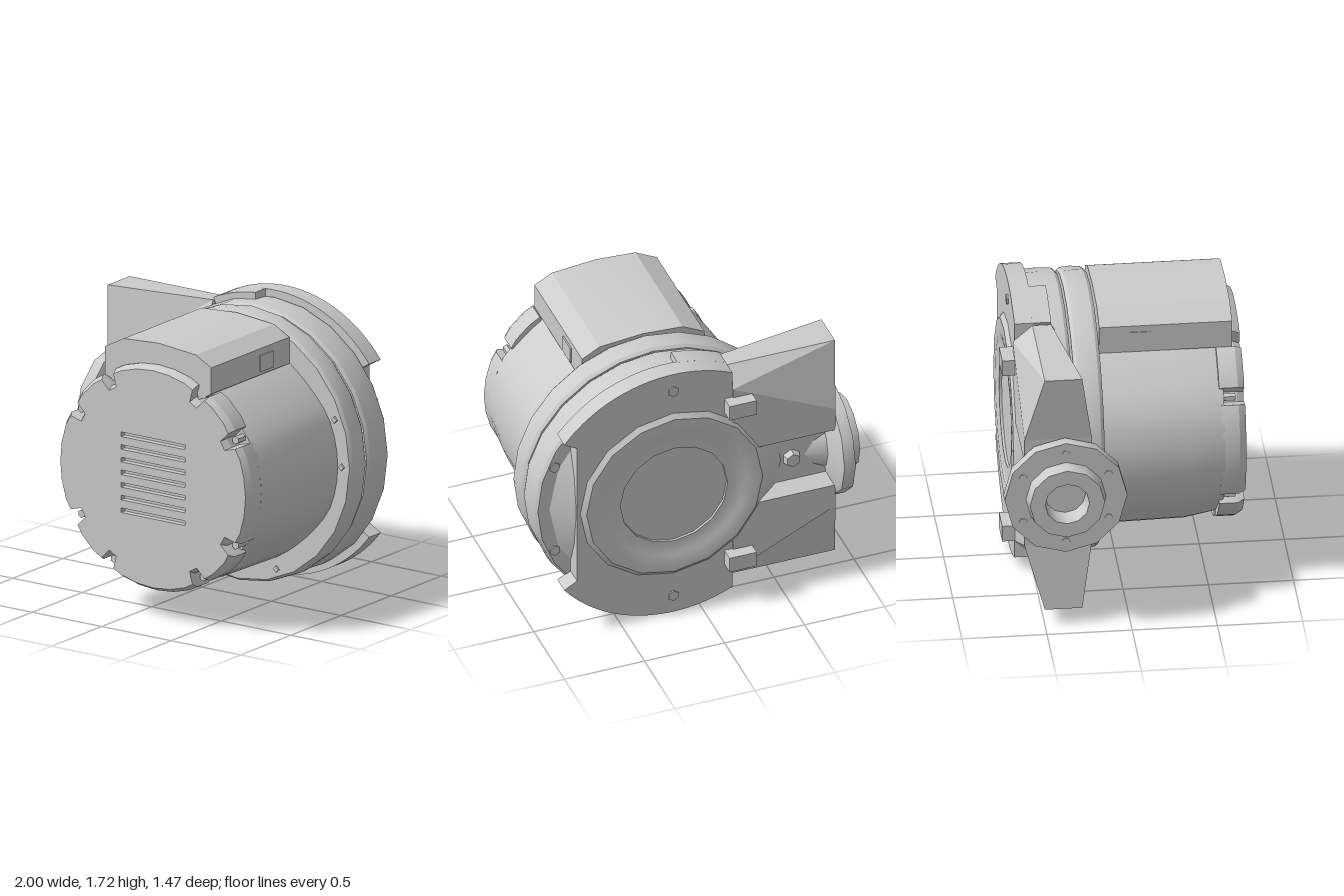
import * as THREE from 'three';
import { toCreasedNormals } from 'three/addons/utils/BufferGeometryUtils.js';

const CX = 0.17, CY = 0.87; // main axis, running along z
const V = (x, y) => new THREE.Vector2(x, y);

export function createModel() {
  const root = new THREE.Group();
  const mat = new THREE.MeshStandardMaterial({ color: 0xcccccc });

  const add = (name, geo, x = 0, y = 0, z = 0, crease = 0.55) => {
    const mesh = new THREE.Mesh(toCreasedNormals(geo, crease), mat);
    mesh.name = name;
    mesh.position.set(x, y, z);
    root.add(mesh);
    return mesh;
  };
  // Profile of [radius, z] pairs turned around the z axis
  const lathe = (profile, sides) =>
    new THREE.LatheGeometry(profile.map(p => V(...p)), sides).rotateX(Math.PI / 2);
  const extrude = (shape, depth, segs = 10) =>
    new THREE.ExtrudeGeometry(shape, { depth, curveSegments: segs, bevelEnabled: false });

  // Motor housing: broad sides, shallow flutes on the diagonals, tapered underside
  const body = lathe([[0, -0.15], [0.7, -0.15], [0.69, 0.4], [0.67, 0.6], [0, 0.6]], 48);
  const bp = body.attributes.position;
  for (let i = 0; i < bp.count; i++) {
    const x = bp.getX(i), y = bp.getY(i), z = bp.getZ(i);
    const a = Math.atan2(Math.abs(y), Math.abs(x));
    const flute = 1 - 0.03 * Math.max(0, Math.cos((a - 0.82) * 4));
    const sag = y < 0 && z > 0.5 ? 0.95 : 0.98;
    bp.setXYZ(i, x * flute * 1.03, y * flute * sag, z);
  }
  add('motorHousing', body, CX, CY);

  // Two separate flanges with a narrow open gap
  const flange = (name, a, b, r0) => add(name, lathe([[r0, a], [0.805, a], [0.82, a + 0.02], [0.825, (a + b) / 2],
    [0.82, b - 0.02], [0.805, b], [r0, b]], 24), CX, CY);
  flange('frontFlange', -0.28, -0.12, 0);
  flange('rearFlange', -0.5, -0.292, 0.3);

  // End cap: disc with screw notches, vent slots and a softened front edge
  const notches = [30, 60, 120, 150, 210, 240, 300, 330];
  const outline = [];
  for (let d = 0; d < 360; d += 10) {
    const a = d * Math.PI / 180;
    if (notches.includes(d)) {
      for (const [da, r] of [[-0.075, 0.68], [-0.05, 0.6], [0.05, 0.6], [0.075, 0.68]])
        outline.push(V(r * Math.cos(a + da), r * Math.sin(a + da)));
    } else outline.push(V(0.69 * Math.cos(a), 0.685 * Math.sin(a)));
  }
  const cap = new THREE.Shape(outline);
  for (let i = 0; i < 7; i++) {
    const y = -0.228 + i * 0.077;
    cap.holes.push(new THREE.Path([V(-0.23, y - 0.014), V(-0.23, y + 0.014), V(0.23, y + 0.014), V(0.23, y - 0.014)]));
  }
  const capGeo = extrude(cap, 0.04);
  const cp = capGeo.attributes.position;
  for (let i = 0; i < cp.count; i++) {
    const x = cp.getX(i), y = cp.getY(i);
    if (cp.getZ(i) > 0.02 && Math.hypot(x, y) > 0.5) cp.setXY(i, x * 0.965, y * 0.965);
  }
  add('endCap', capGeo, CX, CY, 0.685);
  add('capRim', extrude(new THREE.Shape(outline), 0.11), CX, CY, 0.575);

  // Cap screws
  for (const d of notches) {
    const a = d * Math.PI / 180;
    add('capScrew', new THREE.CylinderGeometry(0.025, 0.025, 0.08, 6).rotateX(Math.PI / 2),
      CX + 0.64 * Math.cos(a), CY + 0.64 * Math.sin(a), 0.63);
  }

  // Terminal box on top, with an arched opening over the cap
  const box = new THREE.Shape([V(-0.385, 1.43), V(-0.27, 1.39), V(-0.25, 1.5), V(-0.08, 1.545), V(0.1, 1.545),
    V(0.26, 1.5), V(0.29, 1.39), V(0.38, 1.44), V(0.38, 1.6), V(0.27, 1.66), V(0, 1.685), V(-0.25, 1.67), V(-0.385, 1.6)]);
  add('terminalBox', extrude(box, 0.78), CX, 0, -0.11, 0.3);
  for (const s of [-1, 1])
    add('boxClip', new THREE.BoxGeometry(0.015, 0.1, 0.13), CX + s * 0.382, 1.51, 0.125);

  // Back plate: disc with pointed tips on one side, and a bore
  const plate = new THREE.Shape();
  plate.absarc(0, 0, 0.86, 0.659, 2.016);
  plate.absarc(0, 0, 0.86, -2.016, -0.659);
  plate.lineTo(0.6, -0.48);
  plate.lineTo(0.6, 0.48);
  plate.holes.push(new THREE.Path().absarc(0, 0, 0.5, 0, Math.PI * 2, true));
  add('backPlate', extrude(plate, 0.115), CX, CY, -0.605);

  // Short lips reaching forward over the rear flange
  for (const s of [-1, 1]) {
    const lip = new THREE.Shape();
    const [a, b] = s > 0 ? [1.65, 2.016] : [-2.016, -1.65];
    lip.absarc(0, 0, 0.86, a, b);
    lip.absarc(0, 0, 0.79, b, a, true);
    add('plateLip', extrude(lip, 0.11, 4), CX, CY, -0.5);
  }

  // Output hub: raised collar around a deep rounded bore, sloping down to the rear flange
  add('outputHub', lathe([[0, -0.2], [0.2, -0.205], [0.26, -0.23], [0.28, -0.3], [0.285, -0.53], [0.33, -0.55],
    [0.335, -0.62], [0.43, -0.62], [0.45, -0.63], [0.55, -0.63], [0.58, -0.605], [0.74, -0.495]], 16), CX, CY, 0, 0.6);

  // Side arm, built from sections given as [z, height from the axis]
  const armBar = (points, depth) => {
    const geo = extrude(new THREE.Shape(points.map(([z, dy]) => V(z, CY + dy))), depth)
      .rotateY(-Math.PI / 2).translate(-0.2, 0, 0);
    const p = geo.attributes.position;
    for (let i = 0; i < p.count; i++) { // draw the inner end back and spread it towards the plate
      const y = p.getY(i), z = p.getZ(i), off = Math.abs(y - CY);
      if (p.getX(i) > -0.5) {
        if (z > -0.4) p.setZ(i, z - 0.11);
        if (off > 0.3 && off < 0.5) p.setY(i, CY + Math.sign(y - CY) * 0.66);
      } else if (off < 0.5) p.setX(i, -0.84);
    }
    return geo;
  };
  // Core with a channel along the back
  add('armCore', armBar([[-0.22, 0.35], [-0.615, 0.35], [-0.615, 0.2], [-0.52, 0.16], [-0.52, -0.16],
    [-0.615, -0.2], [-0.615, -0.35], [-0.22, -0.35]], 0.64), 0, 0, 0, 0.15);
  // Wedge-shaped brackets above and below the core
  for (const s of [-1, 1])
    add('armBracket', armBar([[-0.28, s * 0.76], [-0.5, s * 0.76], [-0.615, s * 0.35], [-0.22, s * 0.35]], 0.68),
      0, 0, 0, 0.15);
  add('channelBoss', new THREE.CylinderGeometry(0.045, 0.06, 0.05, 6).rotateX(-Math.PI / 2), -0.6, CY, -0.535);

  // Side port: neck, flange and bored boss along -x
  const port = [[0.1, 0.58], [0.19, 0.81], [0.33, 0.835], [0.36, 0.85], [0.36, 0.92], [0.235, 0.92], [0.22, 1],
    [0.13, 1], [0.12, 0.88], [0, 0.88]];
  add('sidePort', new THREE.LatheGeometry(port.map(q => V(...q)), 12).rotateZ(Math.PI / 2), 0, CY, -0.38);
  for (let i = 0; i < 6; i++) {
    const a = (i + 0.5) * Math.PI / 3;
    add('portScrew', new THREE.CylinderGeometry(0.025, 0.025, 0.03, 6).rotateZ(Math.PI / 2),
      -0.91, CY + 0.29 * Math.sin(a), -0.38 + 0.29 * Math.cos(a));
  }

  // Locating blocks and bolts on the back, mirrored about the axis height
  for (const s of [-1, 1]) {
    add('locatingBlock', new THREE.BoxGeometry(0.17, 0.1, 0.12), -0.235, CY + s * 0.55, -0.63);
    for (const [x, dy, z] of [[0.17, 0.74, -0.6], [0.87, 0.3, -0.495]])
      add('backBolt', new THREE.CylinderGeometry(0.035, 0.03, 0.03, 6).rotateX(-Math.PI / 2), x, CY + s * dy, z);
  }

  // Small pins on the front flange
  for (const [x, y] of [[0.92, 0.87], [-0.59, 0.87], [0.16, 0.13], [0.45, 0.17], [0.87, 1.15], [-0.53, 0.57]])
    add('flangePin', new THREE.CylinderGeometry(0.02, 0.025, 0.03, 4).rotateX(Math.PI / 2), x, y, -0.125);

  return root;
}
